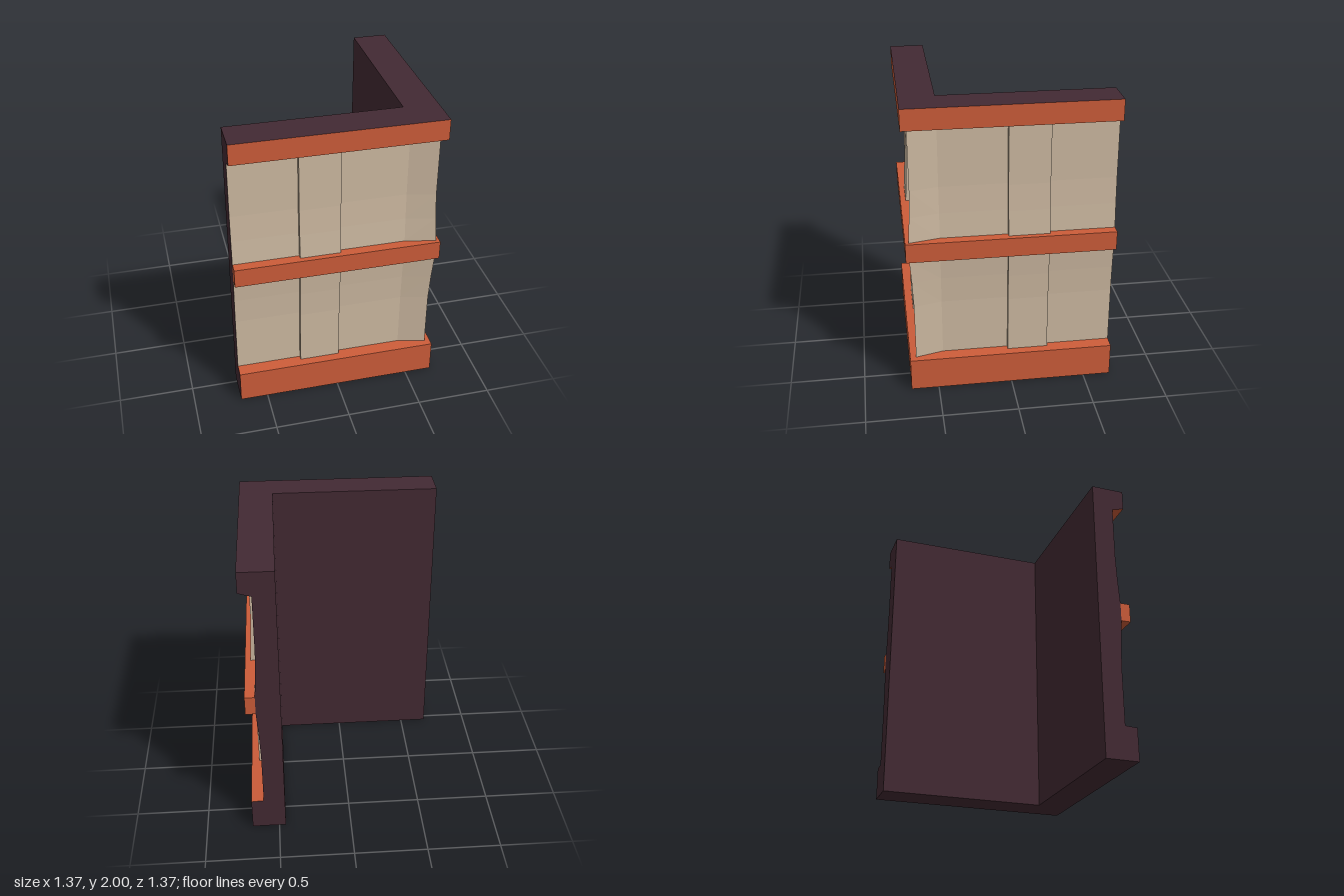
import * as THREE from 'three';

const OUT = 0.685;   // outer plane of base, band and cornice
const IN = 0.455;    // inner plane of the walls
const FACE = 0.6;    // recessed plaster plane
const BULGE = 0.018; // how far the plaster swells beside the band

// Grid of faceted quads: columns run along the wall, rows run upwards
function gridGeometry(columns, rows, point) {
  const pos = [];
  for (let i = 0; i < columns.length - 1; i++) {
    for (let j = 0; j < rows.length - 1; j++) {
      const a = point(columns[i], rows[j]);
      const b = point(columns[i + 1], rows[j]);
      const c = point(columns[i + 1], rows[j + 1]);
      const d = point(columns[i], rows[j + 1]);
      pos.push(...a, ...b, ...c, ...a, ...c, ...d);
    }
  }
  const g = new THREE.BufferGeometry();
  g.setAttribute('position', new THREE.Float32BufferAttribute(pos, 3));
  g.computeVertexNormals();
  return g;
}

// Mirror across the corner diagonal: swap x and z, reverse the winding
function mirrorGeometry(source) {
  const p = (source.index ? source.toNonIndexed() : source).attributes.position;
  const pos = [];
  for (let t = 0; t < p.count; t += 3) {
    for (const k of [t, t + 2, t + 1]) pos.push(p.getZ(k), p.getY(k), p.getX(k));
  }
  const g = new THREE.BufferGeometry();
  g.setAttribute('position', new THREE.Float32BufferAttribute(pos, 3));
  g.computeVertexNormals();
  return g;
}

const makeShape = (points) => new THREE.Shape(points.map(([x, y]) => new THREE.Vector2(x, y)));

// L-shaped outline; shape y becomes -z once laid flat
const cornerShape = (inner) => makeShape([
  [-OUT, -OUT], [OUT, -OUT], [OUT, OUT], [inner, OUT], [inner, -inner], [-OUT, -inner],
]);

export function createModel() {
  const trim = new THREE.MeshStandardMaterial({ color: 0xcc5c39 });
  trim.name = 'terracotta trim';
  const plaster = new THREE.MeshStandardMaterial({ color: 0xcdb9a1 });
  plaster.name = 'beige plaster';
  const core = new THREE.MeshStandardMaterial({ color: 0x432a33 });
  core.name = 'dark core';

  const group = new THREE.Group();
  group.name = 'wallCorner';
  const add = (name, geometry, material) => {
    const mesh = new THREE.Mesh(geometry, material);
    mesh.name = name;
    group.add(mesh);
  };
  const addBoth = (name, geometry, material) => {
    add('front' + name, geometry, material);
    add('side' + name, mirrorGeometry(geometry), material);
  };

  // Plaster: recessed ends, proud middle panel, flare towards the corner.
  // A null position means the mitre, where both walls meet.
  const columns = [
    [-OUT, FACE], [-0.25, FACE], [-0.25, 0.63], [0.02, 0.63],
    [0.02, FACE], [0.46, FACE], [null, 0.645],
  ];
  const plasterPoint = ([s, depth], [y, swell]) => {
    const d = depth + swell;
    return [s === null ? d : s, y, d];
  };
  const lowerRows = [[0.22, 0], [0.62, 0], [0.8, BULGE * 0.4], [0.97, BULGE]];
  const upperRows = [[1.1, BULGE], [1.27, BULGE * 0.4], [1.45, 0], [1.85, 0]];
  addBoth('LowerPlaster', gridGeometry(columns, lowerRows, plasterPoint), plaster);
  addBoth('UpperPlaster', gridGeometry(columns, upperRows, plasterPoint), plaster);

  // Base and cornice faces, mitred at the corner
  const trimPoint = (s, [d, y]) => [s === null ? d : s, y, d];
  const base = [[OUT, 0], [OUT, 0.225], [FACE, 0.23]];
  const cornice = [[FACE, 1.835], [OUT, 1.86], [OUT, 2]];
  addBoth('Base', gridGeometry([-OUT, null], base, trimPoint), trim);
  addBoth('Cornice', gridGeometry([-OUT, null], cornice, trimPoint), trim);

  // Middle band
  const band = new THREE.ExtrudeGeometry(cornerShape(FACE + BULGE), { depth: 0.13, bevelEnabled: false });
  band.rotateX(-Math.PI / 2).translate(0, 0.97, 0);
  add('middleBand', band, trim);

  // Dark cut ends follow the wall profile
  const plasterProfile = [...lowerRows.slice(1), ...upperRows.slice(0, 3)]
    .map(([y, swell]) => [FACE + swell, y]);
  const end = new THREE.ShapeGeometry(makeShape([[IN, 0], ...base, ...plasterProfile, ...cornice, [IN, 2]]));
  end.rotateY(-Math.PI / 2).translate(-OUT, 0, 0);
  addBoth('CutEnd', end, core);

  // Dark inner walls
  const inner = new THREE.PlaneGeometry(OUT + IN, 2);
  inner.rotateY(Math.PI).translate((IN - OUT) / 2, 1, IN);
  addBoth('InnerWall', inner, core);

  // Dark top, and the same outline turned over about the diagonal as underside
  const top = new THREE.ShapeGeometry(cornerShape(IN));
  top.rotateX(-Math.PI / 2);
  const diagonal = new THREE.Vector3(1, 0, 1).normalize();
  const turnOver = new THREE.Quaternion().setFromAxisAngle(diagonal, Math.PI);
  add('underside', top.clone().applyQuaternion(turnOver), core);
  add('topFace', top.translate(0, 2, 0), core);

  return group;
}
